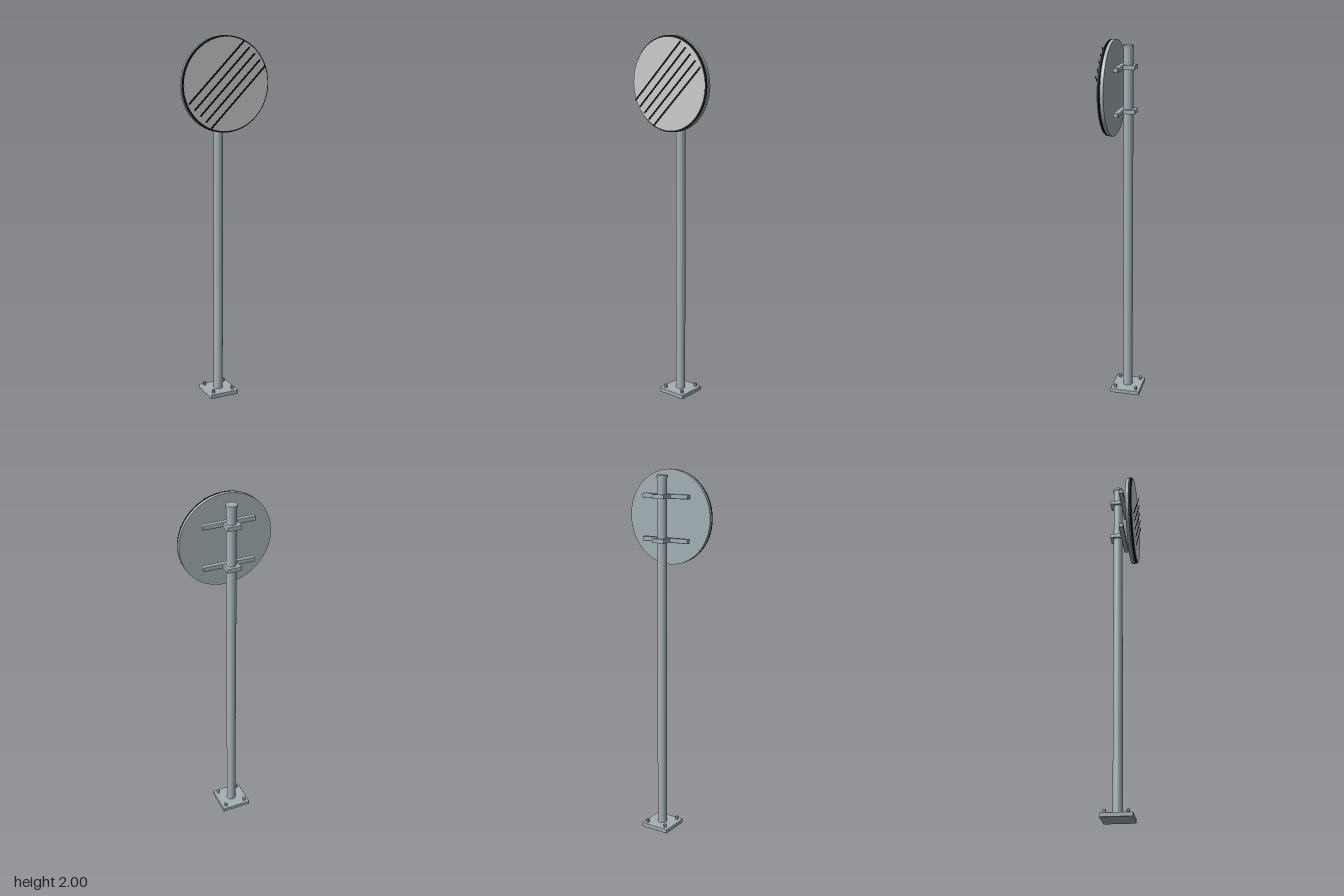
import * as THREE from 'three';
import { RoundedBoxGeometry } from 'three/addons/geometries/RoundedBoxGeometry.js';

const metal = new THREE.MeshStandardMaterial({ color: 0xa3b0b6 });
const white = new THREE.MeshStandardMaterial({ color: 0xcccccc });
const black = new THREE.MeshStandardMaterial({ color: 0x141418 });

const POLE_Z = -0.0165;
const SIGN_Y = 1.75;

export function createModel() {
  const model = new THREE.Group();

  const add = (name, geometry, material, x, y, z, parent = model) => {
    const mesh = new THREE.Mesh(geometry, material);
    mesh.name = name;
    mesh.position.set(x, y, z);
    parent.add(mesh);
    return mesh;
  };
  const box = (w, h, d, r) => new RoundedBoxGeometry(w, h, d, 2, r);
  const post = (r, h, sides = 32) => new THREE.CylinderGeometry(r, r, h, sides);
  // Disc facing +z, spanning z0 to z1
  const disc = (name, r, z0, z1, material, parent) =>
    add(name, post(r, z1 - z0, 64).rotateX(Math.PI / 2), material, 0, 0, (z0 + z1) / 2, parent);

  // Base plate with four hexagonal bolts
  add('basePlate', box(0.17, 0.024, 0.17, 0.004), metal, 0, 0.012, -0.015);
  for (const x of [-0.06, 0.06])
    for (const z of [-0.06, 0.06])
      add('baseBolt', post(0.0085, 0.022, 6).toNonIndexed(), metal, x, 0.032, POLE_Z + z)
        .geometry.computeVertexNormals();

  // Pole and its cap
  add('pole', post(0.026, 1.94), metal, 0, 0.99, POLE_Z);
  add('poleCap', post(0.029, 0.014), metal, 0, 1.965, POLE_Z);

  // Two brackets: a clamp round the pole and a crossbar behind the sign
  for (const y of [1.635, 1.863]) {
    const bracket = new THREE.Group();
    bracket.name = 'bracket';
    bracket.position.y = y;
    model.add(bracket);
    add('clamp', new THREE.BoxGeometry(0.073, 0.022, 0.07), metal, 0, 0, -0.023, bracket);
    add('crossbar', box(0.284, 0.025, 0.026, 0.004), metal, 0, 0, 0.017, bracket);
  }

  // Sign: metal backing, dark border disc, pale face
  const sign = new THREE.Group();
  sign.name = 'sign';
  sign.position.y = SIGN_Y;
  model.add(sign);
  disc('signBacking', 0.25, 0.052, 0.07, metal, sign);
  disc('signBorder', 0.249, 0.075, 0.08, black, sign);
  disc('signFace', 0.243, 0.085, 0.087, white, sign);

  // Five diagonal stripes in front of the face
  for (let i = -2; i <= 2; i++) {
    const offset = i * 0.045 * Math.SQRT1_2;
    const stripe = add('stripe', new THREE.BoxGeometry(0.445, 0.009, 0.0015), black, offset, -offset, 0.098, sign);
    stripe.rotation.z = Math.PI / 4;
  }

  return model;
}
